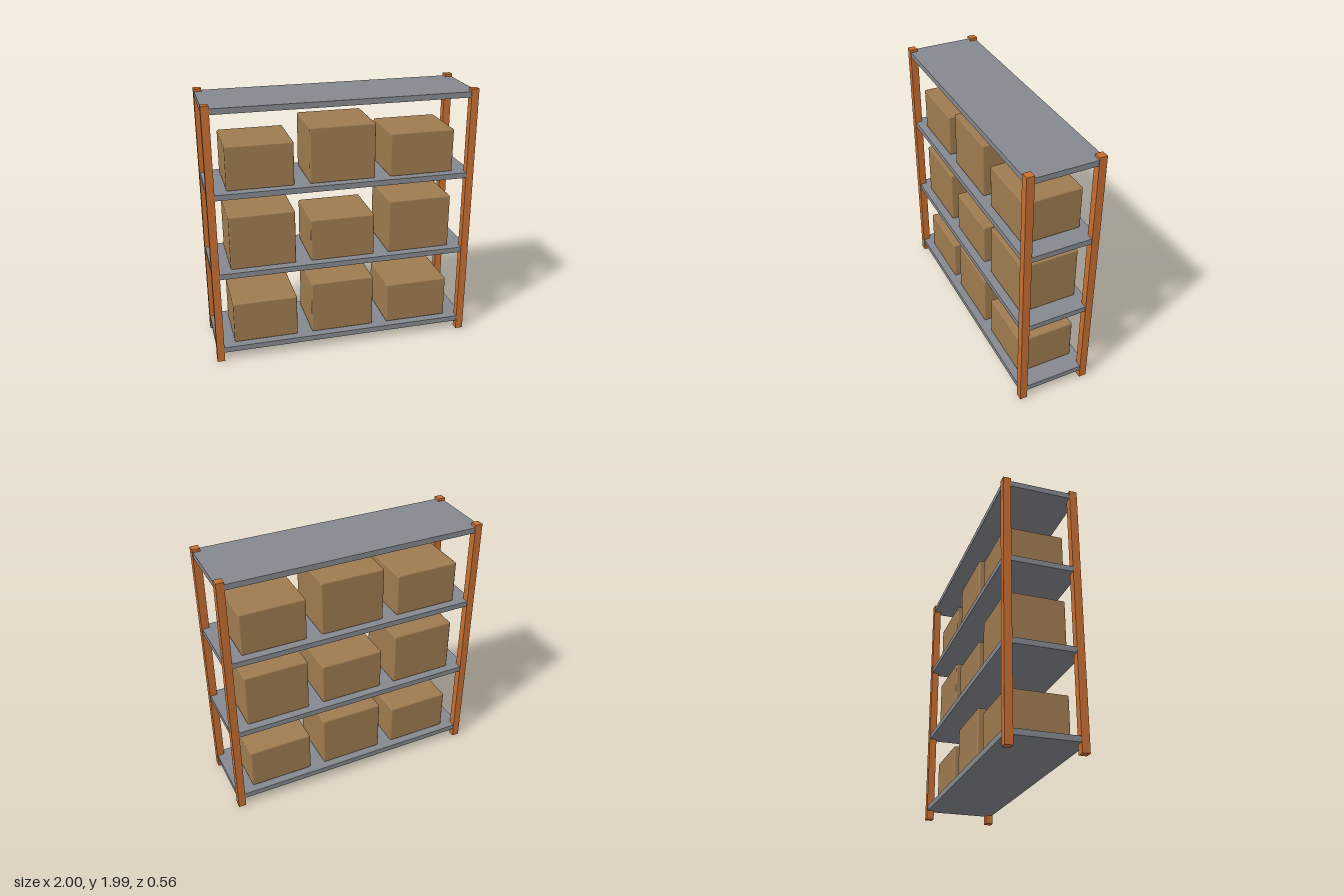
import * as THREE from 'three';
import { RoundedBoxGeometry } from 'three/addons/geometries/RoundedBoxGeometry.js';

const mat = (name, color) => {
  const m = new THREE.MeshStandardMaterial({ color });
  m.name = name;
  return m;
};

export function createModel() {
  const orange = mat('orange post paint', 0xc86f32);
  const grey = mat('grey shelf metal', 0x85898f);
  const cardboard = mat('brown cardboard', 0x9f7b50);

  const rack = new THREE.Group();
  rack.name = 'storageRack';

  const add = (name, geometry, material, x, y, z) => {
    const mesh = new THREE.Mesh(geometry, material);
    mesh.name = name;
    mesh.position.set(x, y, z);
    rack.add(mesh);
  };

  // Four corner posts
  const postW = 0.057, postH = 1.99, halfX = 1, halfZ = 0.282;
  const postGeo = new THREE.BoxGeometry(postW, postH, postW);
  for (const sx of [1, -1]) {
    for (const sz of [1, -1]) {
      const name = (sz > 0 ? 'front' : 'back') + (sx > 0 ? 'Left' : 'Right') + 'Post';
      add(name, postGeo, orange, sx * (halfX - postW / 2), postH / 2, sz * (halfZ - postW / 2));
    }
  }

  // Four evenly spaced shelves, set just inside the outer post faces
  const shelfT = 0.042, firstTop = 0.112, pitch = 0.619;
  const shelfGeo = new THREE.BoxGeometry(1.99, shelfT, 0.554);
  for (let i = 0; i < 4; i++) {
    add(`shelf${i + 1}`, shelfGeo, grey, 0, firstTop + i * pitch - shelfT / 2, 0);
  }

  // Boxes alternate between short and tall on the lower three shelves
  const heights = [0.33, 0.42];
  const boxGeos = heights.map((h) => new RoundedBoxGeometry(0.492, h, 0.44, 1, 0.011));
  for (let row = 0; row < 3; row++) {
    for (let col = 0; col < 3; col++) {
      const kind = (row + col) % 2;
      const y = firstTop + row * pitch + heights[kind] / 2;
      add(`box${row + 1}_${col + 1}`, boxGeos[kind], cardboard, (col - 1) * 0.607, y, 0);
    }
  }

  return rack;
}
